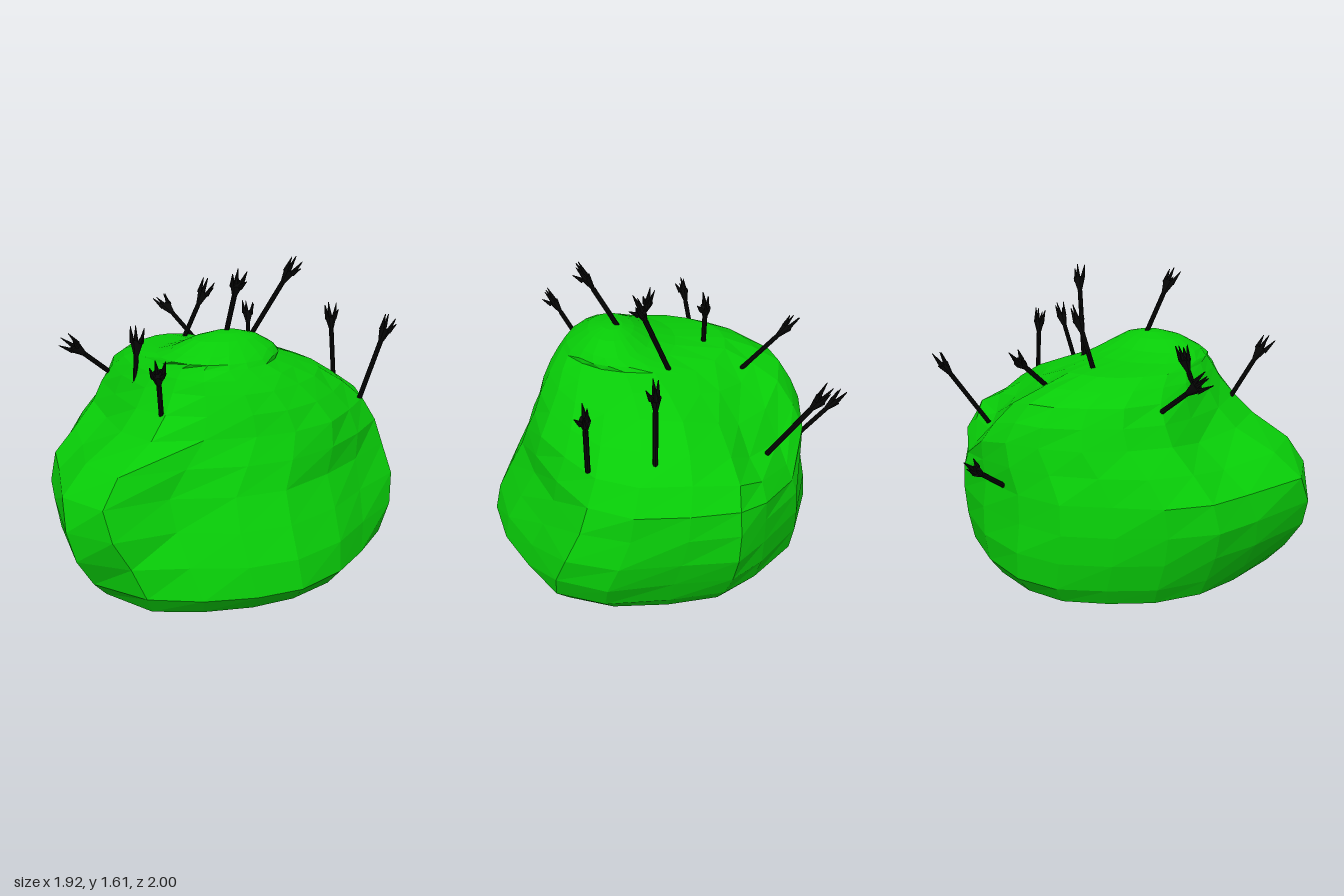
import * as THREE from 'three';

const GREEN = new THREE.MeshStandardMaterial({ color: 0x08cc08, flatShading: true });
const BLACK = new THREE.MeshStandardMaterial({ color: 0x060606, flatShading: true });

// Lumpy ground outline, [x, z], from the front round by +x
const OUTLINE = [
  [0, 1], [.3, .93], [.55, .8], [.82, .65], [.93, .4], [.95, .1], [.95, -.19], [.83, -.36], [.6, -.6], [.3, -.72],
  [0, -.76], [-.25, -.71], [-.47, -.55], [-.67, -.38], [-.82, -.15], [-.89, .1], [-.96, .45], [-.8, .72], [-.5, .79], [-.25, .95],
];

// Cross-sections: [y, xMin, xMax, zMin, zMax, roundness]
const LEVELS = [
  [0, -.68, .70, -.57, .80, .6],
  [.05, -.78, .78, -.68, .92, .4],
  [.15, -.85, .85, -.75, 1.0, .2],
  [.3, -.93, .91, -.76, .97, 0],
  [.45, -.96, .95, -.74, .89, 0],
  [.6, -.93, .95, -.72, .81, 0],
  [.73, -.80, .94, -.71, .78, .2],
  [.85, -.64, .87, -.70, .73, .5],
  [.95, -.56, .74, -.66, .68, .7],
  [1.04, -.50, .59, -.59, .63, .8],
  [1.1, -.45, .43, -.46, .59, .9],
  [1.145, -.40, .30, -.31, .55, 1],
  [1.168, -.37, .27, -.04, .53, 1],
  [1.2, -.32, .23, .09, .49, 1],
  [1.25, -.21, .14, .18, .42, 1],
  [1.272, -.09, .05, .24, .35, 1],
];

// Soft dents and bulges: centre x, y, z, radius, then push x, y, z
const PUSHES = [
  [.57, .95, -.47, .3, -.04, -.18, .03], // sunken back left shoulder
  [.20, 1.07, -.34, .13, 0, -.04, 0], // hollow inside that shoulder
  [.26, 1.12, -.08, .15, 0, -.03, 0], // hollow beside the summit
  [-.67, .73, .55, .24, -.11, 0, .05], // full top of the side bulge
  [-.93, .45, .40, .25, 0, 0, .08], // tip of the side bulge
  [-.66, .78, .08, .2, .07, -.05, 0], // valley behind the side bulge
  [-.50, 1.0, .18, .15, .03, -.02, 0], // top of that valley
  [-.30, .95, .55, .22, -.03, 0, .05], // full chest beside the bulge
  [-.72, .29, .68, .15, .06, 0, -.04], // undercut below the bulge
  [-.50, .12, .76, .18, 0, 0, .06], // front right hem
  [.85, .35, .52, .3, .03, 0, .04], // front left flank
  [0, 0, .85, .3, 0, .03, 0], // lifted front hem
];

// Arms: base x, y, z, then fingertip x, y, z
const ARMS = [
  [.14, .61, -.70, .05, .82, -.99],
  [.17, 1.03, -.32, .05, 1.29, -.68],
  [.56, .80, -.43, .68, 1.21, -.67],
  [-.48, 1.01, -.19, -.73, 1.22, -.17],
  [-.03, 1.12, -.19, .13, 1.46, -.17],
  [-.46, 1.00, .13, -.40, 1.29, .04],
  [.26, 1.15, .04, .45, 1.60, .21],
  [-.01, 1.27, .27, -.05, 1.60, .46],
  [-.46, .93, .44, -.57, 1.26, .64],
  [.76, .90, .16, .72, 1.33, .15],
  [.71, .88, .47, .88, 1.30, .47],
];

// Moves a point by every push, weighted by its distance from the centre
function applyPushes(p) {
  const start = p.clone();
  for (const [x, y, z, r, dx, dy, dz] of PUSHES) {
    const w = Math.exp(-start.distanceToSquared(new THREE.Vector3(x, y, z)) / (r * r));
    p.addScaledVector(new THREE.Vector3(dx, dy, dz), w);
  }
  p.y = Math.max(p.y, 0);
  return p;
}

function bodyGeometry() {
  const n = OUTLINE.length, pos = [], index = [];
  LEVELS.forEach(([y, x0, x1, z0, z1, round], k) => {
    OUTLINE.forEach(([x, z], i) => {
      const q = new THREE.Vector2(x / .955, (z - .12) / .88);
      q.lerp(q.clone().normalize(), round);
      // gentle unevenness, fading at the base and summit
      q.multiplyScalar(1 + .01 * Math.sin(i * 2.3 + k * 1.7) * Math.sin(Math.PI * k / (LEVELS.length - 1)));
      const p = new THREE.Vector3((x0 + x1) / 2 + q.x * (x1 - x0) / 2, y, (z0 + z1) / 2 + q.y * (z1 - z0) / 2);
      pos.push(...applyPushes(p).toArray());
    });
  });
  for (let k = 0; k < LEVELS.length - 1; k++) {
    for (let i = 0; i < n; i++) {
      const a = k * n + i, b = k * n + (i + 1) % n;
      index.push(a, b, b + n, a, b + n, a + n);
    }
  }
  // bottom and summit fans
  const bottom = pos.length / 3, top = bottom + 1, last = (LEVELS.length - 1) * n;
  pos.push(0, 0, .12, -.02, 1.276, .295);
  for (let i = 0; i < n; i++) {
    const j = (i + 1) % n;
    index.push(bottom, j, i, top, last + i, last + j);
  }
  const g = new THREE.BufferGeometry();
  g.setAttribute('position', new THREE.Float32BufferAttribute(pos, 3));
  g.setIndex(index);
  const flat = g.toNonIndexed();
  flat.computeVertexNormals();
  return flat;
}

function addMesh(group, name, geometry, material) {
  const mesh = new THREE.Mesh(geometry, material);
  mesh.name = name;
  group.add(mesh);
  return mesh;
}

const UP = new THREE.Vector3(0, 1, 0);

// Stick arm along +y with its origin at the skin and a spread hand on the end
function makeArm(length) {
  const arm = new THREE.Group();
  const wrist = length - .155, sunk = .02;
  const stick = addMesh(arm, 'stick', new THREE.CylinderGeometry(.013, .013, wrist + sunk, 8), BLACK);
  stick.position.y = (wrist - sunk) / 2;
  const palm = addMesh(arm, 'palm', new THREE.CylinderGeometry(.036, .013, .075, 8), BLACK);
  palm.position.y = wrist + .037;
  palm.scale.z = .75;
  // three fingers in a fan and a thumb to one side: root x, root z, tip x, tip z, reach
  for (const [x, z, tx, tz, reach] of [
    [-.024, 0, -.042, .008, .08], [0, -.008, -.004, -.012, .088], [.024, 0, .036, .008, .078], [.008, .02, .02, .046, .05],
  ]) {
    const root = new THREE.Vector3(x, wrist + .065, z);
    const along = new THREE.Vector3(tx, wrist + .067 + reach, tz).sub(root);
    const finger = addMesh(arm, 'finger', new THREE.CylinderGeometry(.002, .014, along.length(), 6), BLACK);
    finger.position.copy(root).addScaledVector(along, .5);
    finger.quaternion.setFromUnitVectors(UP, along.normalize());
  }
  return arm;
}

export function createModel() {
  const model = new THREE.Group();
  model.name = 'blobWithArms';
  addMesh(model, 'body', bodyGeometry(), GREEN);
  ARMS.forEach(([x, y, z, tx, ty, tz], i) => {
    const base = new THREE.Vector3(x, y, z);
    const along = new THREE.Vector3(tx, ty, tz).sub(base);
    const arm = makeArm(along.length());
    arm.name = `arm${i + 1}`;
    arm.position.copy(base);
    arm.quaternion.setFromUnitVectors(UP, along.normalize());
    model.add(arm);
  });
  return model;
}
